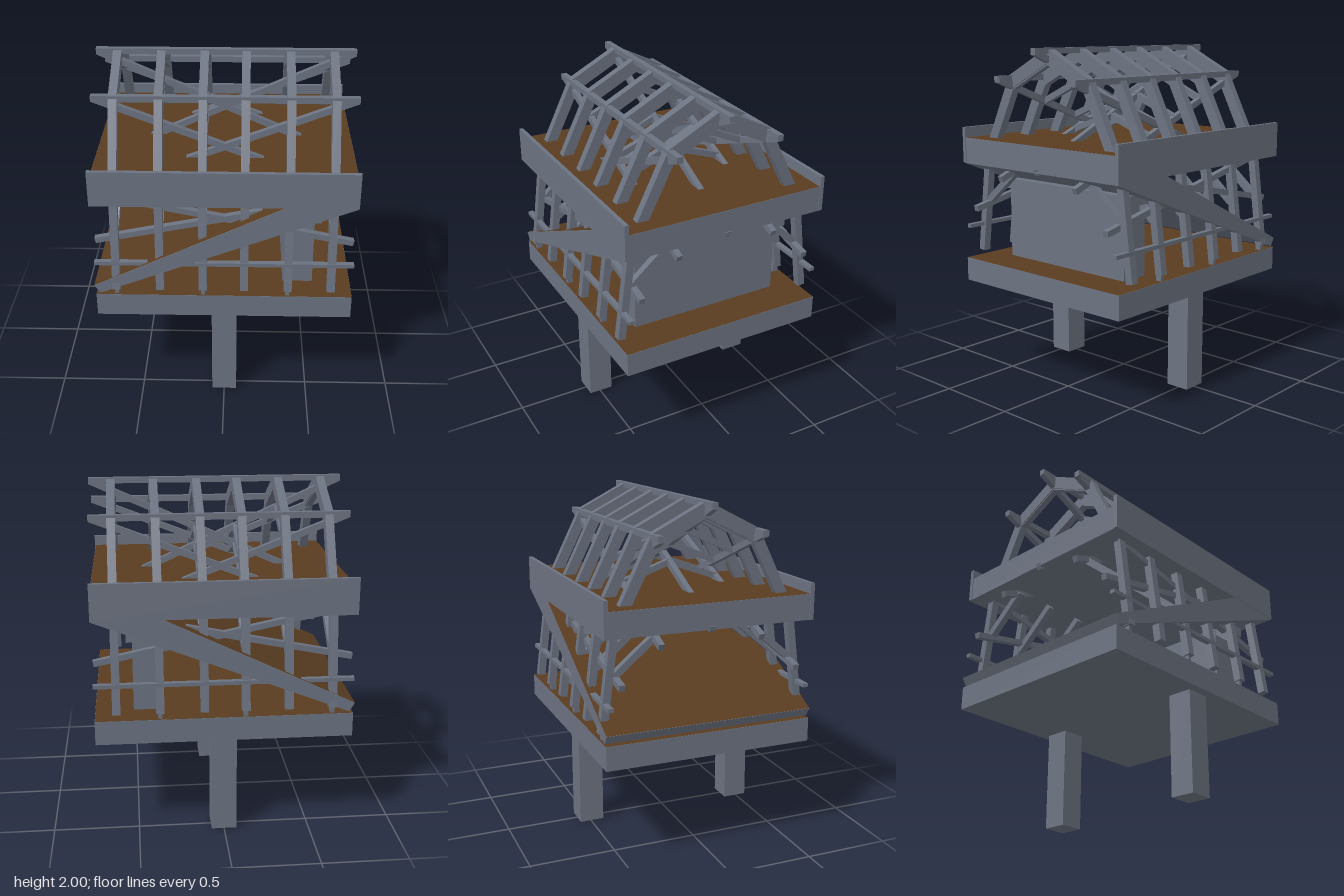
import * as THREE from 'three';

const timber = new THREE.MeshStandardMaterial({ color: 0x6b7280 });
timber.name = 'grey timber';
const boards = new THREE.MeshStandardMaterial({ color: 0x593c20 });
boards.name = 'brown boards';

export function createModel() {
  const model = new THREE.Group();
  model.name = 'timberFrameHouse';

  const add = (name, geometry, material = timber) => {
    const mesh = new THREE.Mesh(geometry, material);
    mesh.name = name;
    model.add(mesh);
    return mesh;
  };
  // Box given by its limits on each axis
  const box = (name, x0, x1, y0, y1, z0, z1, material) => {
    const mesh = add(name, new THREE.BoxGeometry(x1 - x0, y1 - y0, z1 - z0), material);
    mesh.position.set((x0 + x1) / 2, (y0 + y1) / 2, (z0 + z1) / 2);
    return mesh;
  };
  // Square-cut beam between two points
  const beam = (name, a, b, w, h) => {
    const p = new THREE.Vector3(...a), q = new THREE.Vector3(...b);
    const mesh = add(name, new THREE.BoxGeometry(w, h, p.distanceTo(q)));
    mesh.position.copy(p).add(q).multiplyScalar(0.5);
    mesh.lookAt(q);
    return mesh;
  };
  // Outline in (z, y) extruded along x, centred on the given x
  const frame = (name, points, x, width) => {
    const shape = new THREE.Shape(points.map(p => new THREE.Vector2(...p)));
    const geometry = new THREE.ExtrudeGeometry(shape, { depth: width, bevelEnabled: false });
    geometry.translate(0, 0, -width / 2);
    geometry.rotateY(-Math.PI / 2);
    add(name, geometry).position.x = x;
  };
  const floor = (name, y, z) => {
    const geometry = new THREE.PlaneGeometry(1.464, 2 * z).rotateX(-Math.PI / 2);
    add(name, geometry, boards).position.y = y + 0.001;
  };

  // Platforms and posts
  box('lowerPlatform', -0.733, 0.733, 0.595, 0.735, -0.62, 0.62);
  floor('lowerFloor', 0.735, 0.62);
  box('upperPlatform', -0.733, 0.733, 1.32, 1.468, -0.61, 0.61);
  floor('upperFloor', 1.468, 0.6);
  for (const s of [-1, 1]) {
    box('post', -0.073, 0.073, 0, 0.6, s * 0.493 - 0.073, s * 0.493 + 0.073);
    box('parapet', -0.737, 0.737, 1.32, 1.53, s * 0.611 - 0.012, s * 0.611 + 0.012);
  }

  // Counter standing on the lower floor
  box('counterBody', 0.34, 0.513, 0.735, 1.16, -0.46, 0.46);
  box('counterTop', 0.33, 0.547, 1.16, 1.22, -0.51, 0.51);

  // Tapered ramp between the floors, with a boarded upper face
  const rampShape = new THREE.Shape([
    [-0.71, 0.745], [0.73, 1.315], [0.73, 1.34], [0.35, 1.325], [-0.74, 0.795],
  ].map(p => new THREE.Vector2(...p)));
  const rampGeometry = new THREE.ExtrudeGeometry(rampShape, { depth: 1.24, bevelEnabled: false });
  add('ramp', rampGeometry.translate(0, 0, -0.62));
  const rise = Math.atan2(0.53, 1.09);
  const rampBoards = add('rampBoards', new THREE.PlaneGeometry(Math.hypot(1.09, 0.53), 1.24)
    .rotateX(-Math.PI / 2).rotateZ(rise), boards);
  rampBoards.position.set(-0.196, 1.062, 0);

  // Heights of the long braces along x
  const ridgeBrace = x => 1.65 - 0.452 * x;
  const kneeBrace = x => 1.535 - 0.39 * x;

  // Six roof frames, each with wall studs, knee braces and chevron ties
  const roofOutline = [
    [0, 2], [0.315, 1.84], [0.51, 1.45], [0.44, 1.45], [0.275, 1.775],
    [0, 1.915], [-0.275, 1.775], [-0.44, 1.45], [-0.51, 1.45], [-0.315, 1.84],
  ];
  [-0.615, -0.365, -0.12, 0.115, 0.365, 0.61].forEach((x, i) => {
    frame('roofFrame', roofOutline, x, 0.048);
    for (const s of [-1, 1]) {
      beam('wallStud', [x, 1.33, s * 0.53], [x, 0.77, s * 0.603], 0.046, 0.045);
      beam('kneeBrace', [x, 1.3, s * 0.28], [x, 1.07, s * 0.55], 0.04, 0.04);
      if (i % 2 === 0) box('studPeg', x - 0.012, x + 0.012, 0.73, 0.8, s * 0.592 - 0.018, s * 0.592 + 0.018);
      for (const d of [-1, 1]) {
        if (kneeBrace(d * x) < 1.47) continue;
        beam('chevronTie', [x, ridgeBrace(d * x), 0], [x, kneeBrace(d * x), s * 0.3], 0.036, 0.036);
      }
    }
  });

  // Ridge, purlins and wall rails
  box('ridgeBeam', -0.737, 0.737, 1.967, 2, -0.017, 0.017);
  for (const s of [-1, 1]) {
    box('purlin', -0.737, 0.737, 1.805, 1.84, s * 0.305 - 0.018, s * 0.305 + 0.018);
    box('wallRail', -0.735, 0.735, 0.925, 0.947, s * 0.59 - 0.016, s * 0.59 + 0.016);
  }

  // Crossed long braces under the ridge, purlins and walls
  for (const d of [-1, 1]) {
    beam('ridgeCrossBrace', [-d * 0.73, 1.98, 0], [d * 0.73, 1.32, 0], 0.034, 0.036);
    for (const s of [-1, 1]) {
      beam('purlinCrossBrace', [-d * 0.73, 1.82, s * 0.3], [d * 0.73, 1.25, s * 0.3], 0.034, 0.036);
      beam('wallCrossBrace', [-d * 0.73, 1.35, s * 0.525], [d * 0.73, 1.05, s * 0.525], 0.036, 0.034);
    }
  }
  return model;
}
